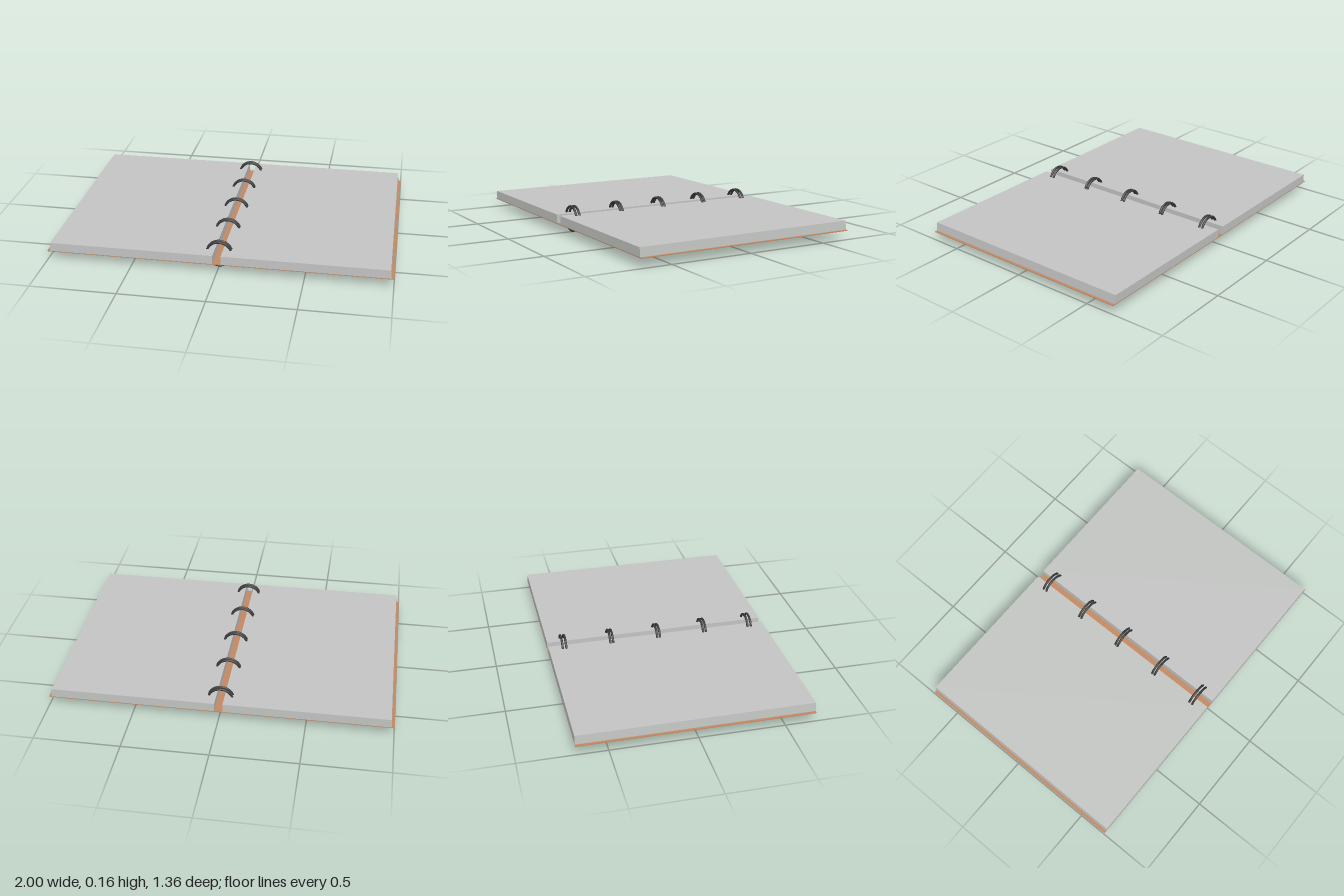
import * as THREE from 'three';

export function createModel() {
  const group = new THREE.Group();
  const paper = new THREE.MeshStandardMaterial({ name: 'paper', color: 0xc2c4c2 });
  const leather = new THREE.MeshStandardMaterial({ name: 'tanCover', color: 0xc28862 });
  const metal = new THREE.MeshStandardMaterial({ name: 'darkMetal', color: 0x3a3a3a });

  const add = (name, geometry, material, x = 0, y = 0, z = 0) => {
    const mesh = new THREE.Mesh(geometry, material);
    mesh.name = name;
    mesh.position.set(x, y, z);
    group.add(mesh);
    return mesh;
  };

  const depth = 1.36, coverTop = 0.056, pageTop = 0.108;

  // Open cover lying flat
  add('cover', new THREE.BoxGeometry(2, 0.004, depth), leather, 0, coverTop - 0.002);

  // Two page blocks, outer edges leaning in slightly towards the top
  for (const [name, side] of [['leftPages', 1], ['rightPages', -1]]) {
    const profile = new THREE.Shape([
      [0.024, coverTop], [0.984, coverTop], [0.979, pageTop], [0.024, pageTop],
    ].map(([x, y]) => new THREE.Vector2(side * x, y)));
    add(name, new THREE.ExtrudeGeometry(profile, { depth, bevelEnabled: false }), paper, 0, 0, -depth / 2);
  }

  // Five pairs of binding rings through pages and cover
  const ring = new THREE.TorusGeometry(0.073, 0.007, 10, 48);
  const pairs = [[-0.586, 0.011], [-0.294, 0.009], [0, 0.009], [0.294, 0.009], [0.586, 0.011]];
  for (const [z, offset] of pairs) {
    add('bindingRing', ring, metal, 0, 0.08, z - offset);
    add('bindingRing', ring, metal, 0, 0.08, z + offset);
  }
  return group;
}
